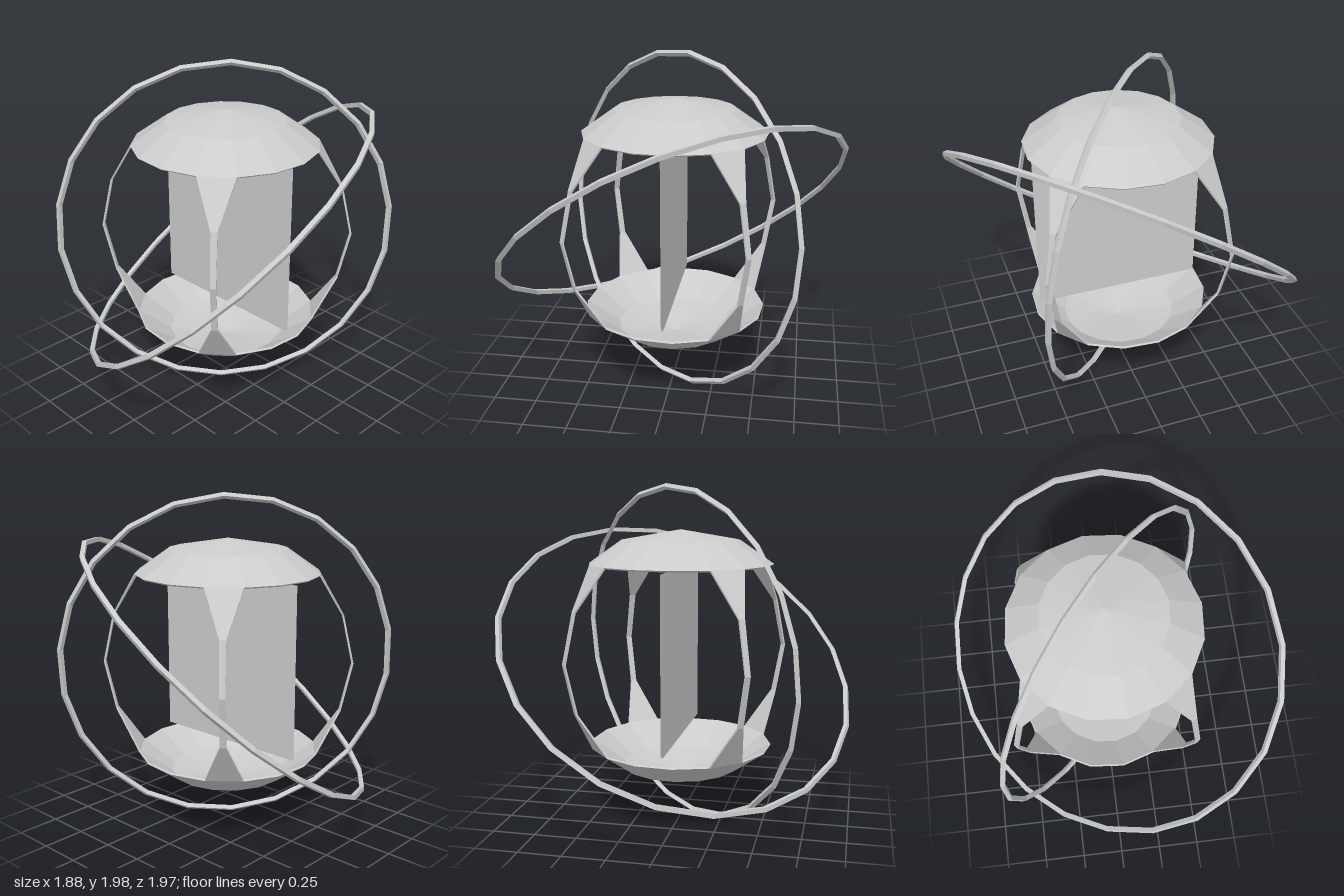
import * as THREE from 'three';

const material = new THREE.MeshStandardMaterial({ color: 0xcccccc, flatShading: true, side: THREE.DoubleSide });
const CENTRE = 1; // height of the middle of the model
const SIDES = 16;
const START = THREE.MathUtils.degToRad(6.5);
const STEP = (Math.PI * 2) / SIDES;
const RIM = 0.537;
const SHELL = 0.985; // inner surface relative to the outer one

function add(parent, name, geometry) {
  const mesh = new THREE.Mesh(geometry, material);
  mesh.name = name;
  parent.add(mesh);
  return mesh;
}

// Shallow faceted cap with a thin wall; sign +1 is the top, -1 the bottom
function capGeometry(sign) {
  const outer = [[RIM, 0.535], [0.345, 0.67], [0, 0.73]];
  const inner = outer.map(([r, y]) => [r * SHELL, y * SHELL]).reverse();
  const profile = [...inner, ...outer].map(([r, y]) => new THREE.Vector2(r, sign * y));
  if (sign < 0) profile.reverse();
  return new THREE.LatheGeometry(profile, SIDES, START);
}

// Upright strap: flares to one rim edge at each end, narrow in between
function strapGeometry() {
  const half = STEP / 2;
  const stations = [
    [RIM * Math.cos(half), 0.535, RIM * Math.sin(half)],
    [0.67, 0.29, 0.018],
    [0.735, 0, 0.016],
  ];
  const all = [...stations, ...stations.slice(0, 2).reverse().map(([r, y, w]) => [r, -y, w])];
  const positions = [];
  const index = [];
  all.forEach(([r, y, w], i) => {
    for (const [side, k] of [[-1, 1], [1, 1], [1, SHELL], [-1, SHELL]]) positions.push(side * w, y * k, r * k);
    if (i === 0) return;
    for (let j = 0; j < 4; j++) {
      const a = (i - 1) * 4 + j;
      const b = (i - 1) * 4 + ((j + 1) % 4);
      index.push(a, a + 4, b, b, a + 4, b + 4);
    }
  });
  const geometry = new THREE.BufferGeometry();
  geometry.setAttribute('position', new THREE.Float32BufferAttribute(positions, 3));
  geometry.setIndex(index);
  geometry.computeVertexNormals();
  return geometry;
}

// Tilted orbit ring given its axis and the direction of one corner
function addRing(parent, name, radius, axis, corner) {
  const n = new THREE.Vector3(...axis).normalize();
  const u = new THREE.Vector3(...corner).projectOnPlane(n).normalize();
  const v = new THREE.Vector3().crossVectors(n, u);
  const geometry = new THREE.TorusGeometry(radius, 0.018, 4, 22);
  geometry.applyMatrix4(new THREE.Matrix4().makeBasis(u, v, n));
  add(parent, name, geometry).position.y = CENTRE;
}

export function createModel() {
  const model = new THREE.Group();
  model.name = 'ringedLantern';

  // Caps
  add(model, 'topCap', capGeometry(1)).position.y = CENTRE;
  add(model, 'bottomCap', capGeometry(-1)).position.y = CENTRE;

  // Four straps joining the caps
  const straps = new THREE.Group();
  straps.name = 'straps';
  const strap = strapGeometry();
  for (let i = 0; i < 4; i++) {
    const mesh = add(straps, 'strap', strap);
    mesh.position.y = CENTRE;
    mesh.rotation.y = START + 1.5 * STEP + (i * Math.PI) / 2;
  }
  model.add(straps);

  // Flat panel inside: a front and a back sheet with open edges
  const panel = new THREE.Group();
  panel.name = 'innerPanel';
  const sheet = new THREE.PlaneGeometry(1, 1);
  const front = add(panel, 'frontSheet', sheet);
  front.position.z = 0.005;
  const back = add(panel, 'backSheet', sheet);
  back.position.z = -0.005;
  back.rotation.y = Math.PI;
  panel.position.y = CENTRE + 0.012;
  model.add(panel);

  // Orbit rings
  addRing(model, 'uprightRing', 0.975, [0.755, 0.08, 0.65], [-0.04, 0.99, -0.08]);
  addRing(model, 'slantedRing', 1.073, [-0.507, 0.753, 0.42], [-0.18, 0.43, -0.99]);

  return model;
}
